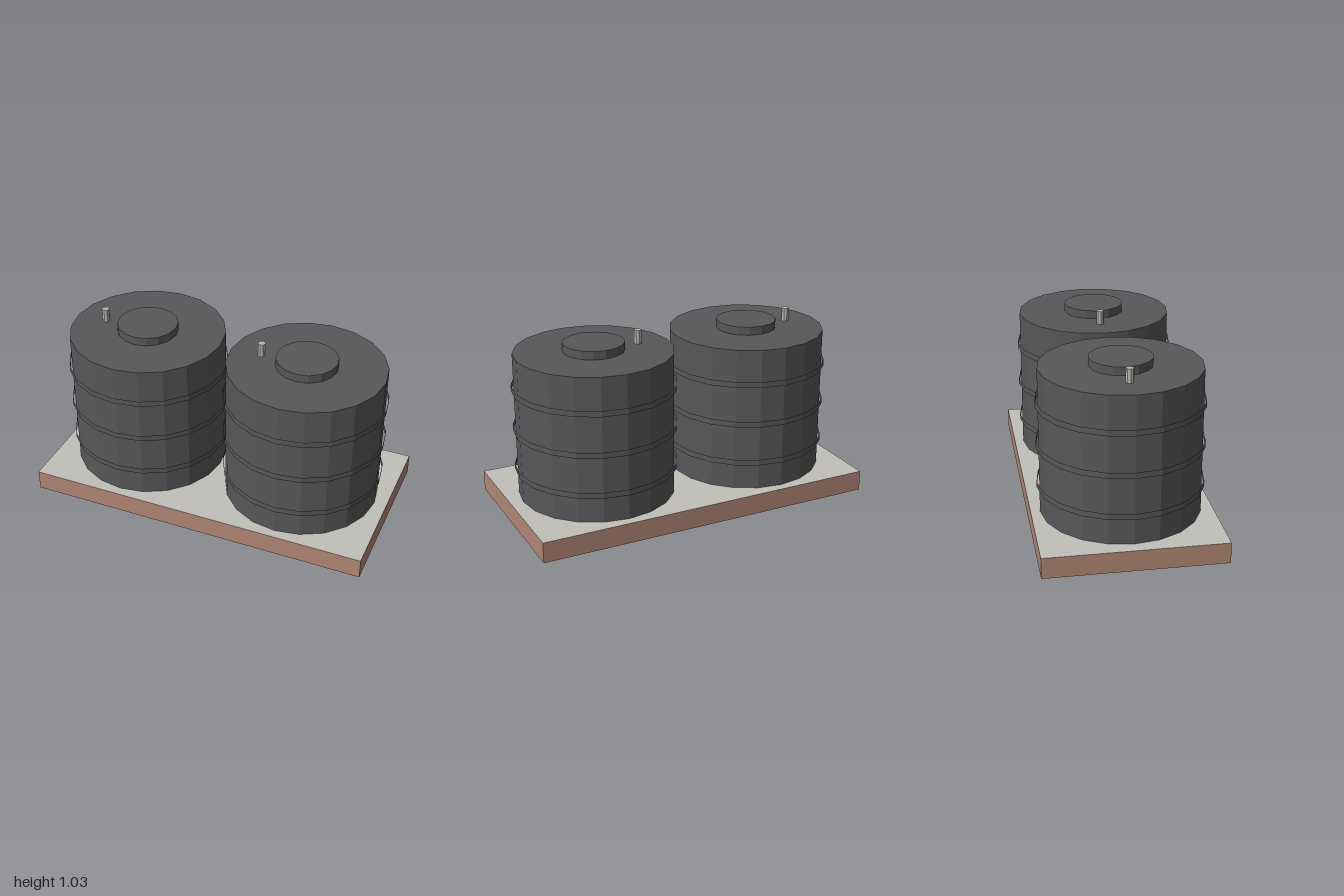
import * as THREE from 'three';

const plastic = new THREE.MeshStandardMaterial({ name: 'darkGreyPlastic', color: 0x58585a, flatShading: true, side: THREE.DoubleSide });
const concrete = new THREE.MeshStandardMaterial({ name: 'paleConcrete', color: 0xc2c0ba, flatShading: true });
const brick = new THREE.MeshStandardMaterial({ name: 'brick', color: 0xb08674, flatShading: true });
const metal = new THREE.MeshStandardMaterial({ name: 'paleMetal', color: 0xb8b8b0, flatShading: true });

const BASE = 0.119;
const TANK_TOP = 0.952;

// Upright prism between two heights
function cylinder(name, r, y0, y1, sides, material, open = false) {
  const geometry = new THREE.CylinderGeometry(r, r, y1 - y0, sides, 1, open);
  const mesh = new THREE.Mesh(geometry, material);
  mesh.name = name;
  mesh.position.y = (y0 + y1) / 2;
  return mesh;
}

function createTank(name, x) {
  const tank = new THREE.Group();
  tank.name = name;
  tank.position.x = x;
  tank.add(cylinder('tankBody', 0.447, BASE, TANK_TOP, 20, plastic));

  // Thin open hoops around the body
  for (const y of [0.284, 0.518, 0.754]) {
    tank.add(cylinder('hoop', 0.462, y - 0.017, y + 0.017, 20, plastic, true));
  }

  tank.add(cylinder('lid', 0.174, TANK_TOP, 1.0, 16, plastic));
  const vent = cylinder('ventPipe', 0.022, TANK_TOP, 1.03, 8, metal);
  vent.position.x = -0.267;
  tank.add(vent);
  return tank;
}

export function createModel() {
  const model = new THREE.Group();
  model.name = 'twinWaterTanks';

  // Plinth: brick sides, concrete top and underside
  const plinth = new THREE.Mesh(
    new THREE.BoxGeometry(2, BASE, 1),
    [brick, brick, concrete, concrete, brick, brick]
  );
  plinth.name = 'plinth';
  plinth.position.y = BASE / 2;
  model.add(plinth);

  model.add(createTank('rightTank', -0.481), createTank('leftTank', 0.481));
  return model;
}
